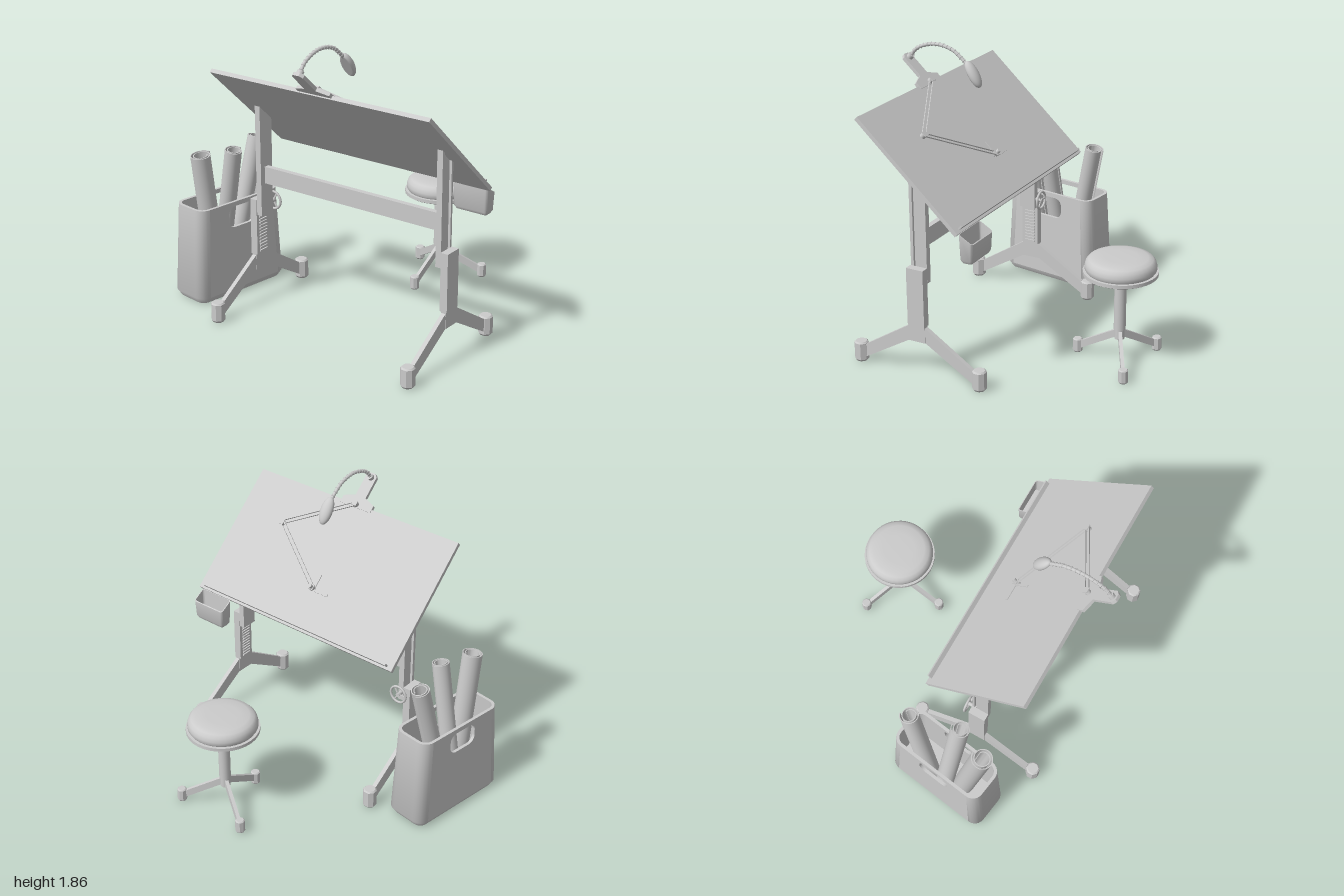
import * as THREE from 'three';
import { toCreasedNormals } from 'three/addons/utils/BufferGeometryUtils.js';

const grey = new THREE.MeshStandardMaterial({ color: 0xcccccc, side: THREE.DoubleSide });
const V2 = (p) => new THREE.Vector2(p[0], p[1]);

function add(parent, name, geo, x = 0, y = 0, z = 0) {
  const m = new THREE.Mesh(geo, grey);
  m.name = name;
  m.position.set(x, y, z);
  parent.add(m);
  return m;
}
function group(parent, name, x = 0, y = 0, z = 0) {
  const g = new THREE.Group();
  g.name = name;
  g.position.set(x, y, z);
  parent.add(g);
  return g;
}
const box = (w, h, d) => new THREE.BoxGeometry(w, h, d);
const cyl = (r, h, n = 20) => new THREE.CylinderGeometry(r, r, h, n);

// flat outline in xy, thickened equally to both sides of z = 0
function plate(points, depth) {
  return new THREE.ExtrudeGeometry(new THREE.Shape(points.map(V2)), { depth, bevelEnabled: false }).translate(0, 0, -depth / 2);
}
const lathe = (pts, n) => toCreasedNormals(new THREE.LatheGeometry(pts.map(V2), n), 0.6);

// octagonal foot with chamfered ends
function foot(r, h) {
  return lathe([[0, 0], [r * 0.75, 0], [r, r * 0.3], [r, h - r * 0.2], [r * 0.8, h], [0, h]], 8).rotateY(Math.PI / 8);
}

// skin over rounded rectangles [halfX, halfZ, cornerRadius, y]; long sides of the rows in 'open' are left out
function loft(rings, open = [], rule = null) {
  const n = 28, pos = [], idx = [];
  for (const [hx, hz, r, y] of rings) {
    for (let i = 0; i < n; i++) {
      const c = Math.floor(i / 7), a = (c + (i % 7) / 6) * Math.PI / 2;
      const sx = c === 0 || c === 3 ? 1 : -1, sz = c < 2 ? 1 : -1;
      const x = sx * (hx - r) + r * Math.cos(a), z = sz * (hz - r) + r * Math.sin(a);
      pos.push(x, rule ? rule(x, y) : y, z);
    }
  }
  for (let j = 0; j < rings.length - 1; j++) {
    for (let i = 0; i < n; i++) {
      if (open.includes(j) && i % 14 === 6) continue;
      const a = j * n + i, b = j * n + (i + 1) % n;
      idx.push(a, a + n, b + n, a, b + n, b);
    }
  }
  const g = new THREE.BufferGeometry();
  g.setAttribute('position', new THREE.Float32BufferAttribute(pos, 3));
  g.setIndex(idx);
  return toCreasedNormals(g, 0.7);
}

function buildLegs(root) {
  const frame = group(root, 'tableFrame', 0, 0, 0.215);
  const under = (x) => 1.725 - 0.917 * (x + 0.855);
  const post = (x0, x1, d) => plate([[x0, 0.6], [x1, 0.6], [x1, under(x1)], [x0, under(x0)]], d);
  for (const s of [1, -1]) {
    const leg = group(frame, s > 0 ? 'frontLeg' : 'backLeg');
    // sliding channel post
    add(leg, 'postFlange', post(-0.415, -0.395, 0.038), 0, 0, s * 0.67);
    add(leg, 'postFlange', post(-0.32, -0.305, 0.038), 0, 0, s * 0.67);
    add(leg, 'postWeb', post(-0.396, -0.319, 0.022), 0, 0, s * 0.662);
    // lower sleeve with height rack
    add(leg, 'sleeve', box(0.115, 0.37, 0.05), -0.362, 0.515, s * 0.715);
    add(leg, 'sleeveFoot', box(0.115, 0.12, 0.034), -0.362, 0.285, s * 0.717);
    for (let i = 0; i < 12; i++) add(leg, 'rackTooth', box(0.07, 0.011, 0.01), -0.362, 0.35 + i * 0.021, s * 0.686);
    // splayed bars and feet
    for (const d of [1, -1]) {
      const bar = [[0, 0.36], [0.375 * d, 0.12], [0.375 * d, 0.035], [0.058 * d, 0.225], [0, 0.225]];
      add(leg, 'legBar', plate(bar, 0.028), -0.36, 0, s * 0.717);
      add(leg, 'foot', foot(0.045, 0.13), -0.36 + 0.418 * d, 0, s * 0.717);
    }
  }
  add(frame, 'crossbar', box(0.035, 0.11, 1.32), -0.36, 0.865, 0);

  // height adjustment wheel
  const wheel = group(frame, 'handWheel', -0.27, 0.66, -0.675);
  wheel.rotation.y = Math.PI / 2;
  add(wheel, 'wheelRim', new THREE.TorusGeometry(0.057, 0.008, 8, 32));
  add(wheel, 'wheelShaft', cyl(0.013, 0.07).rotateX(Math.PI / 2), 0, 0, -0.025);
  for (let i = 0; i < 3; i++) {
    add(wheel, 'wheelSpoke', box(0.01, 0.056, 0.007).translate(0, 0.028, 0)).rotation.z = i * 2.094 + 0.5;
  }
}

function buildBoard(root) {
  // local x runs down the slope, y = 0 is the drawing surface
  const top = group(root, 'tiltedTop', -0.855, 1.76, 0.215);
  top.rotation.z = -Math.atan(0.917);
  add(top, 'drawingBoard', box(0.89, 0.026, 1.57), 0.672, -0.013, 0);
  add(top, 'pencilLedge', box(0.012, 0.034, 1.49), 1.095, 0.015, 0);

  // clamp plate at the upper edge
  const clamp = [[0.02, -0.04], [0.17, -0.04], [0.2, -0.12], [0.25, -0.12], [0.25, 0.12], [0.2, 0.12], [0.17, 0.04], [0.02, 0.04], [0, 0.02], [0, -0.02]];
  add(top, 'clampPlate', plate(clamp, 0.022).rotateX(Math.PI / 2), 0, -0.007, 0);

  // two-part drafting arm, each part a pair of rods
  const joints = [[0.23, 0], [0.515, 0.43], [0.835, -0.01]];
  joints.forEach(([x, z]) => {
    add(top, 'armJoint', cyl(0.018, 0.03), x, 0.018, z);
    add(top, 'armJointBridge', box(0.035, 0.006, 0.035), x, 0.03, z);
  });
  for (let i = 0; i < 2; i++) {
    const [x0, z0] = joints[i], [x1, z1] = joints[i + 1];
    const arm = group(top, 'draftingArm', (x0 + x1) / 2, 0.024, (z0 + z1) / 2);
    arm.rotation.y = -Math.atan2(z1 - z0, x1 - x0);
    for (const s of [1, -1]) add(arm, 'armRod', box(Math.hypot(x1 - x0, z1 - z0), 0.009, 0.009), 0, 0, s * 0.012);
  }
  // drafting head with two rulers
  add(top, 'headKnob', cyl(0.013, 0.03), 0.835, 0.04, -0.01);
  add(top, 'longRuler', box(0.016, 0.005, 0.14), 0.845, 0.01, -0.065);
  add(top, 'shortRuler', box(0.11, 0.005, 0.014), 0.79, 0.01, -0.02);

  // hanging tray, its rim sloping away from the board
  const slant = (x, y) => (y > 0.9 ? y - 0.58 * x : y);
  const tray = [[0, 0, 0, 0.815], [0.03, 0.105, 0.012, 0.815], [0.042, 0.117, 0.018, 0.835], [0.047, 0.122, 0.018, 0.97],
    [0.041, 0.116, 0.013, 0.97], [0.037, 0.112, 0.013, 0.83], [0, 0, 0, 0.83]];
  add(root, 'tray', loft(tray, [], slant), 0.003, 0, 0.855);
}

function buildLamp(root) {
  const lamp = group(root, 'lamp', 0, 0, 0.21);
  const path = [[-0.825, 1.745], [-0.78, 1.8], [-0.7, 1.838], [-0.61, 1.848], [-0.52, 1.827], [-0.46, 1.785], [-0.42, 1.75]];
  const curve = new THREE.CatmullRomCurve3(path.map(([x, y]) => new THREE.Vector3(x, y, 0)));
  add(lamp, 'gooseneck', new THREE.TubeGeometry(curve, 48, 0.011, 10));
  for (let i = 0; i <= 16; i++) {
    const u = i / 17, p = curve.getPointAt(u);
    const ring = add(lamp, 'neckRing', new THREE.TorusGeometry(0.01, 0.004, 6, 14), p.x, p.y, 0);
    ring.quaternion.setFromUnitVectors(new THREE.Vector3(0, 0, 1), curve.getTangentAt(u));
  }
  add(lamp, 'neckSocket', cyl(0.02, 0.04), -0.825, 1.745, 0).rotation.z = -0.74;
  // shade: an oval bowl with a flattened underside
  const shade = new THREE.SphereGeometry(1, 24, 18).scale(0.034, 0.09, 0.042);
  const p = shade.attributes.position;
  for (let i = 0; i < p.count; i++) p.setX(i, Math.max(p.getX(i), -0.016));
  shade.computeVertexNormals();
  add(lamp, 'lampShade', shade, -0.376, 1.693, 0).rotation.z = 0.55;
}

function buildStool(root) {
  const stool = group(root, 'stool', 0.63, 0, 0.21);
  add(stool, 'seatRim', lathe([[0, 0.585], [0.222, 0.585], [0.23, 0.59], [0.23, 0.612], [0, 0.612]], 32));
  add(stool, 'cushion', lathe([[0.21, 0.61], [0.219, 0.625], [0.219, 0.645], [0.212, 0.67], [0.195, 0.688], [0.165, 0.697], [0.1, 0.7], [0, 0.7]], 40));
  // threaded spindle
  add(stool, 'spindle', cyl(0.022, 0.1), 0, 0.54, 0);
  const thread = [];
  for (let i = 0; i <= 48; i++) {
    const a = i / 12 * Math.PI * 2;
    thread.push(new THREE.Vector3(0.023 * Math.cos(a), 0.5 + i * 0.0017, 0.023 * Math.sin(a)));
  }
  add(stool, 'screwThread', new THREE.TubeGeometry(new THREE.CatmullRomCurve3(thread), 120, 0.006, 6));
  add(stool, 'column', cyl(0.037, 0.28), 0, 0.36, 0);
  add(stool, 'hub', cyl(0.031, 0.07), 0, 0.19, 0);
  for (let i = 0; i < 3; i++) {
    const leg = group(stool, 'stoolLeg');
    leg.rotation.y = Math.PI / 3 + i * Math.PI * 2 / 3;
    add(leg, 'stoolLegBar', plate([[0.02, 0.215], [0.27, 0.075], [0.27, 0.025], [0.02, 0.165]], 0.022));
    add(leg, 'stoolFoot', foot(0.031, 0.09), 0.285, 0, 0);
  }
}

function buildBasket(root) {
  const basket = group(root, 'basket', -0.31, 0, -0.81);
  basket.rotation.y = -0.147;
  const rings = [[0, 0, 0, 0], [0.335, 0.125, 0.05, 0], [0.36, 0.15, 0.07, 0.04], [0.33, 0.135, 0.07, 0.63],
    [0.31, 0.115, 0.05, 0.63], [0.34, 0.13, 0.05, 0.04], [0, 0, 0, 0.04]];
  add(basket, 'basketShell', loft(rings, [2, 3, 4]));
  // long walls with a rounded hand hole, leaning inward toward the rim
  const wall = new THREE.Shape([[-0.29, 0.04], [0.29, 0.04], [0.26, 0.63], [-0.26, 0.63]].map(V2));
  const hole = new THREE.Path(), w = 0.108, r = 0.05, y0 = 0.46, y1 = 0.6;
  hole.absarc(w - r, y0 + r, r, -Math.PI / 2, 0);
  hole.absarc(w - r, y1 - r, r, 0, Math.PI / 2);
  hole.absarc(r - w, y1 - r, r, Math.PI / 2, Math.PI);
  hole.absarc(r - w, y0 + r, r, Math.PI, Math.PI * 1.5);
  hole.closePath();
  wall.holes.push(hole);
  const geo = new THREE.ExtrudeGeometry(wall, { depth: 0.02, bevelEnabled: false });
  const p = geo.attributes.position;
  for (let i = 0; i < p.count; i++) p.setZ(i, p.getZ(i) + 0.13 - 0.015 * (p.getY(i) - 0.04) / 0.59);
  geo.computeVertexNormals();
  add(basket, 'basketWall', geo);
  add(basket, 'basketWall', geo).rotation.y = Math.PI;

  // rolled sheets, each a thin spiral
  const rolls = [[-0.43, -0.8, -0.56, 0.97, -0.8, 0.074], [-0.32, -0.88, -0.355, 0.965, -0.705, 0.064], [-0.24, -0.86, -0.04, 0.96, -0.78, 0.066]];
  for (const [bx, bz, tx, ty, tz, rad] of rolls) {
    const pts = [];
    const spiral = (i, t) => {
      const a = i / 24 * Math.PI * 2, q = rad * (1 - 0.0095 * i) - t;
      pts.push([q * Math.cos(a), q * Math.sin(a)]);
    };
    for (let i = 0; i <= 46; i++) spiral(i, 0);
    for (let i = 46; i >= 0; i--) spiral(i, 0.006);
    const base = new THREE.Vector3(bx, 0.06, bz), dir = new THREE.Vector3(tx, ty, tz).sub(base);
    const sheet = new THREE.ExtrudeGeometry(new THREE.Shape(pts.map(V2)), { depth: dir.length(), bevelEnabled: false });
    const roll = add(root, 'paperRoll', toCreasedNormals(sheet, 0.6), bx, 0.06, bz);
    roll.quaternion.setFromUnitVectors(new THREE.Vector3(0, 0, 1), dir.normalize());
  }
}

export function createModel() {
  const root = new THREE.Group();
  root.name = 'draftingTableSet';
  [buildLegs, buildBoard, buildLamp, buildStool, buildBasket].forEach((build) => build(root));
  return root;
}
